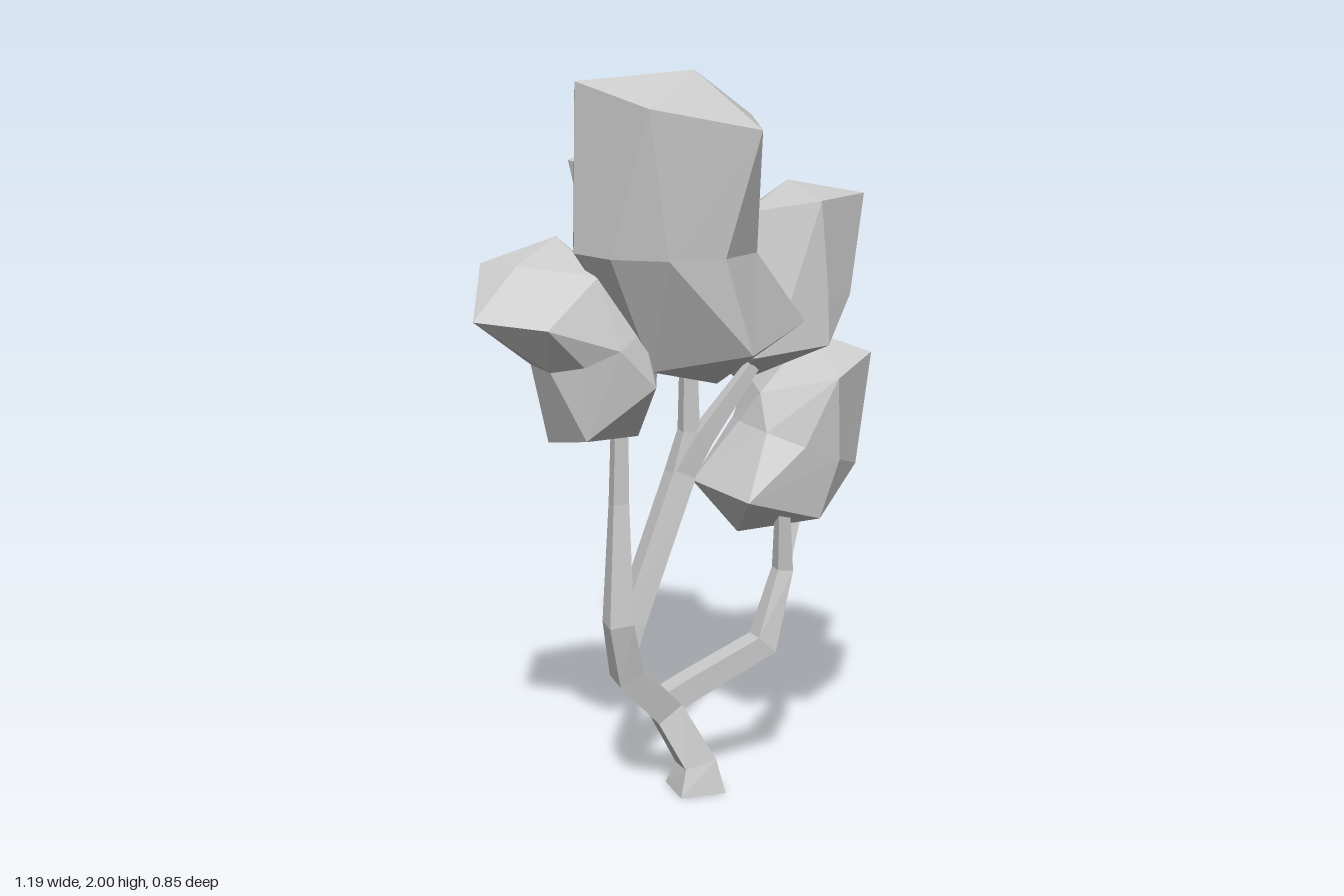
import * as THREE from 'three';

const material = new THREE.MeshStandardMaterial({ color: 0xcccccc, flatShading: true });
const V = (p) => new THREE.Vector3(p[0], p[1], p[2]);

// Faceted mesh from corner points and triangle indices
function facets(name, points, index) {
  const indexed = new THREE.BufferGeometry().setFromPoints(points);
  indexed.setIndex(index);
  const geometry = indexed.toNonIndexed();
  geometry.computeVertexNormals();
  const mesh = new THREE.Mesh(geometry, material);
  mesh.name = name;
  return mesh;
}

// Ring of n points: [x, y, z, radius, slope in x, slope in z], starting at an angle in degrees
function ring([x, y, z, r, sx = 0, sz = 0], n, angle) {
  return Array.from({ length: n }, (_, j) => {
    const a = THREE.MathUtils.degToRad(angle + (j * 360) / n);
    const dx = r * Math.cos(a), dz = r * Math.sin(a);
    return new THREE.Vector3(x + dx, y + dx * sx + dz * sz, z + dz);
  });
}

// Leaf clump: a stretched icosahedron with a ten-sided loop cut around its waist
function clump(name, angle, bottom, low, waist, high, top) {
  const points = [V(bottom), ...ring(low, 5, angle + 36), ...ring(waist, 10, angle + 18), ...ring(high, 5, angle), V(top)];
  const index = [];
  for (let j = 0; j < 5; j++) {
    const k = (j + 1) % 5;
    const l0 = 1 + j, l1 = 1 + k, u0 = 16 + j, u1 = 16 + k;
    const m0 = 6 + 2 * j, m1 = m0 + 1, m2 = 6 + 2 * k;
    index.push(
      0, l0, l1,
      l0, m0, m1, l0, m1, l1, m1, m2, l1,
      m0, u0, m1, m1, u0, u1, m1, u1, m2,
      21, u1, u0,
    );
  }
  return facets(name, points, index);
}

// Four-sided tapering limb; path point: [x, y, z, half width]
function limb(name, path) {
  const pts = path.map(V);
  const last = pts.length - 1;
  const corners = pts.flatMap((p, i) => {
    const into = p.clone().sub(pts[Math.max(i - 1, 0)]).normalize();
    const out = pts[Math.min(i + 1, last)].clone().sub(p).normalize();
    const t = into.add(out).normalize();
    const u = new THREE.Vector3(0, 0, 1).addScaledVector(t, -t.z).normalize();
    const v = t.clone().cross(u);
    const h = path[i][3];
    return [[1, 1], [-1, 1], [-1, -1], [1, -1]].map(([a, b]) =>
      p.clone().addScaledVector(v, a * h).addScaledVector(u, b * h));
  });
  const index = [0, 1, 2, 0, 2, 3];
  for (let i = 0; i < last; i++) {
    for (let j = 0; j < 4; j++) {
      const a = i * 4 + j, b = i * 4 + ((j + 1) % 4);
      index.push(a, a + 4, b, b, a + 4, b + 4);
    }
  }
  const e = last * 4;
  index.push(e, e + 2, e + 1, e, e + 3, e + 2);
  return facets(name, corners, index);
}

export function createModel() {
  const tree = new THREE.Group();
  tree.name = 'tree';

  // Trunk and branches
  tree.add(
    limb('trunk', [[0.033, 0, 0.12, 0.066], [0.034, 0.08, 0.12, 0.046], [-0.045, 0.23, 0.09, 0.042],
      [-0.17, 0.36, 0.125, 0.038], [-0.205, 0.52, 0.16, 0.034], [-0.195, 0.85, 0.14, 0.022], [-0.195, 1.1, 0.15, 0.018]]),
    limb('middleBranch', [[-0.19, 0.42, 0.13, 0.034], [-0.16, 0.51, 0.125, 0.034],
      [0.0, 0.9, 0.08, 0.034], [0.025, 1.02, 0.08, 0.024], [0.02, 1.28, 0.09, 0.018]]),
    limb('middleSideTwig', [[-0.01, 0.88, 0.08, 0.03], [0.06, 1.01, 0.1, 0.026], [0.19, 1.2, 0.13, 0.016]]),
    limb('backTwig', [[0.025, 1.02, 0.08, 0.018], [0.05, 1.16, 0.0, 0.016], [0.06, 1.32, -0.12, 0.014]]),
    limb('leftBranch', [[-0.06, 0.25, 0.09, 0.034], [0.02, 0.29, 0.09, 0.034], [0.24, 0.4, 0.1, 0.034],
      [0.31, 0.6, 0.07, 0.023], [0.295, 0.82, 0.1, 0.015]]),
    limb('leftSideTwig', [[0.305, 0.58, 0.07, 0.018], [0.33, 0.66, 0.05, 0.016], [0.38, 0.8, 0.02, 0.013]]),
  );

  // Leaf clumps
  tree.add(
    clump('topLeaves', -20, [0.08, 1.16, 0.15],
      [0.09, 1.27, 0.14, 0.23, 0.25, 0], [-0.07, 1.53, 0.15, 0.25], [-0.055, 1.91, 0.2, 0.26, -0.2, -0.12],
      [-0.03, 2.0, 0.27]),
    clump('backLeaves', -85, [0.08, 1.24, -0.12],
      [0.06, 1.31, -0.165, 0.16, 0, 0.1], [0.02, 1.48, -0.215, 0.18, 0, 0.1], [-0.025, 1.72, -0.255, 0.18, 0, -0.1],
      [-0.05, 1.8, -0.23]),
    clump('upperLeftLeaves', 20, [0.2, 1.13, 0.0],
      [0.29, 1.24, 0.035, 0.18, 0.12, 0], [0.34, 1.38, 0.015, 0.175], [0.37, 1.62, 0.005, 0.18, 0.12, 0.14],
      [0.36, 1.68, -0.05]),
    clump('lowerLeftLeaves', 12, [0.2, 0.7, 0.0],
      [0.27, 0.79, -0.015, 0.19, -0.3, 0], [0.375, 0.95, -0.015, 0.175, -0.4, 0], [0.41, 1.15, -0.015, 0.185, 0.25, 0],
      [0.44, 1.25, -0.06]),
    clump('rightLeaves', 20, [-0.14, 1.03, 0.14],
      [-0.22, 1.12, 0.13, 0.16, 0.7, 0], [-0.275, 1.3, 0.13, 0.155, 0.4, -0.2], [-0.43, 1.45, 0.14, 0.175, 0.33, -0.52],
      [-0.47, 1.5, 0.14]),
  );
  return tree;
}
